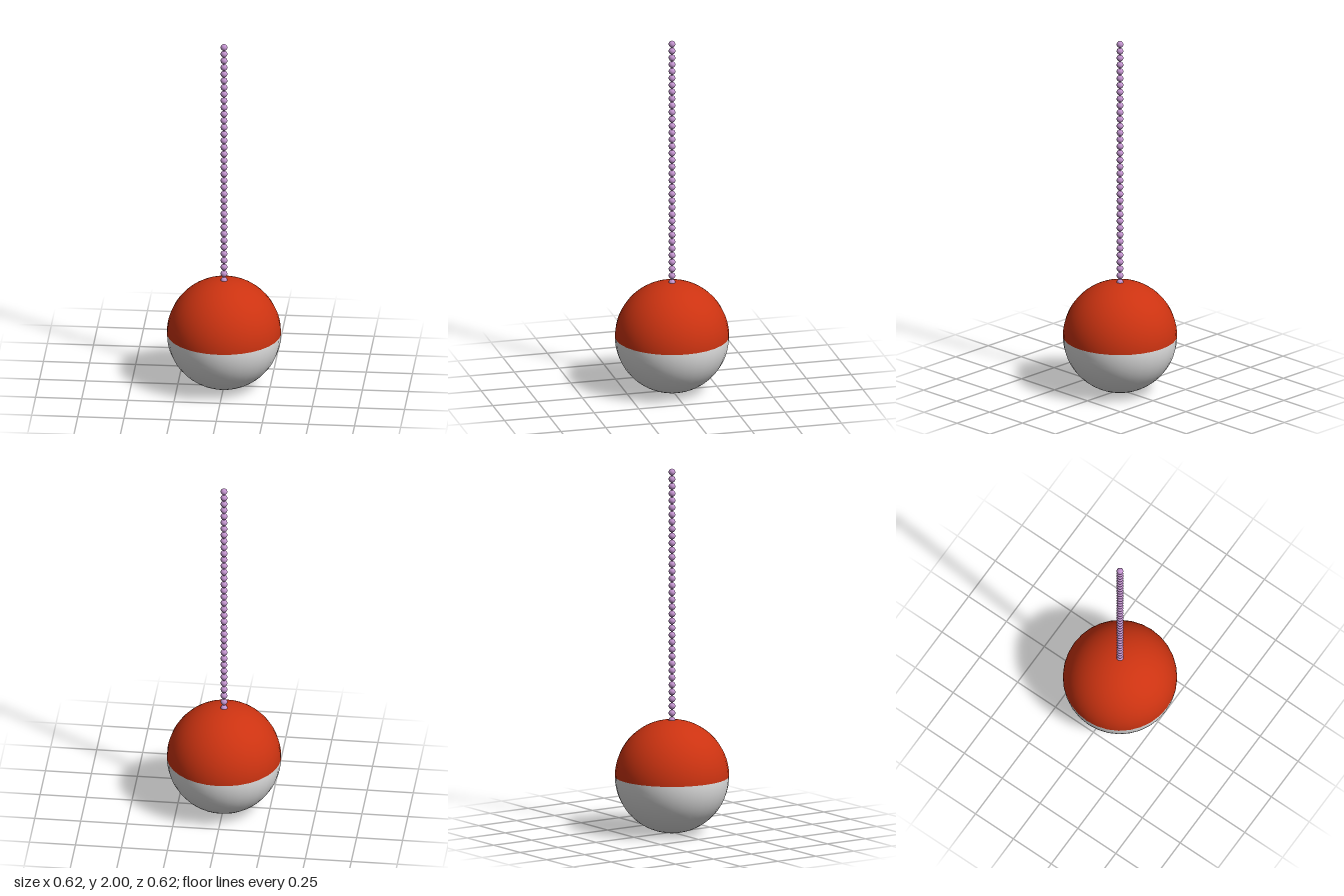
import * as THREE from 'three';

const mat = (name, color) => Object.assign(new THREE.MeshStandardMaterial({ color }), { name });

export function createModel() {
  const red = mat('red', 0xcc3311);
  const white = mat('white', 0xe0e0e0);
  const lilac = mat('lilac', 0xc495d0);
  const group = new THREE.Group();
  const add = (name, geometry, material, y) => {
    const mesh = new THREE.Mesh(geometry, material);
    mesh.name = name;
    mesh.position.y = y;
    group.add(mesh);
  };

  // Two-tone ball
  const R = 0.309, centre = 0.311;
  const half = (start) => new THREE.SphereGeometry(R, 32, 16, 0, Math.PI * 2, start, Math.PI / 2);
  add('upperHalf', half(0), red, centre);
  add('lowerHalf', half(Math.PI / 2), white, centre);

  // Bead chain rising from the top of the ball
  const r = 0.0185, pitch = 0.039, count = 36;
  const bead = new THREE.SphereGeometry(r, 16, 12);
  for (let i = 0; i < count; i++) add('bead', bead, lilac, 2 - r - i * pitch);

  // Thin cord through the beads
  const length = (count - 1) * pitch;
  add('cord', new THREE.CylinderGeometry(0.006, 0.006, length, 10), lilac, 2 - r - length / 2);

  // Base sits on the ground
  group.children.slice(0, 2).forEach((m) => { m.position.y = R; });
  return group;
}
